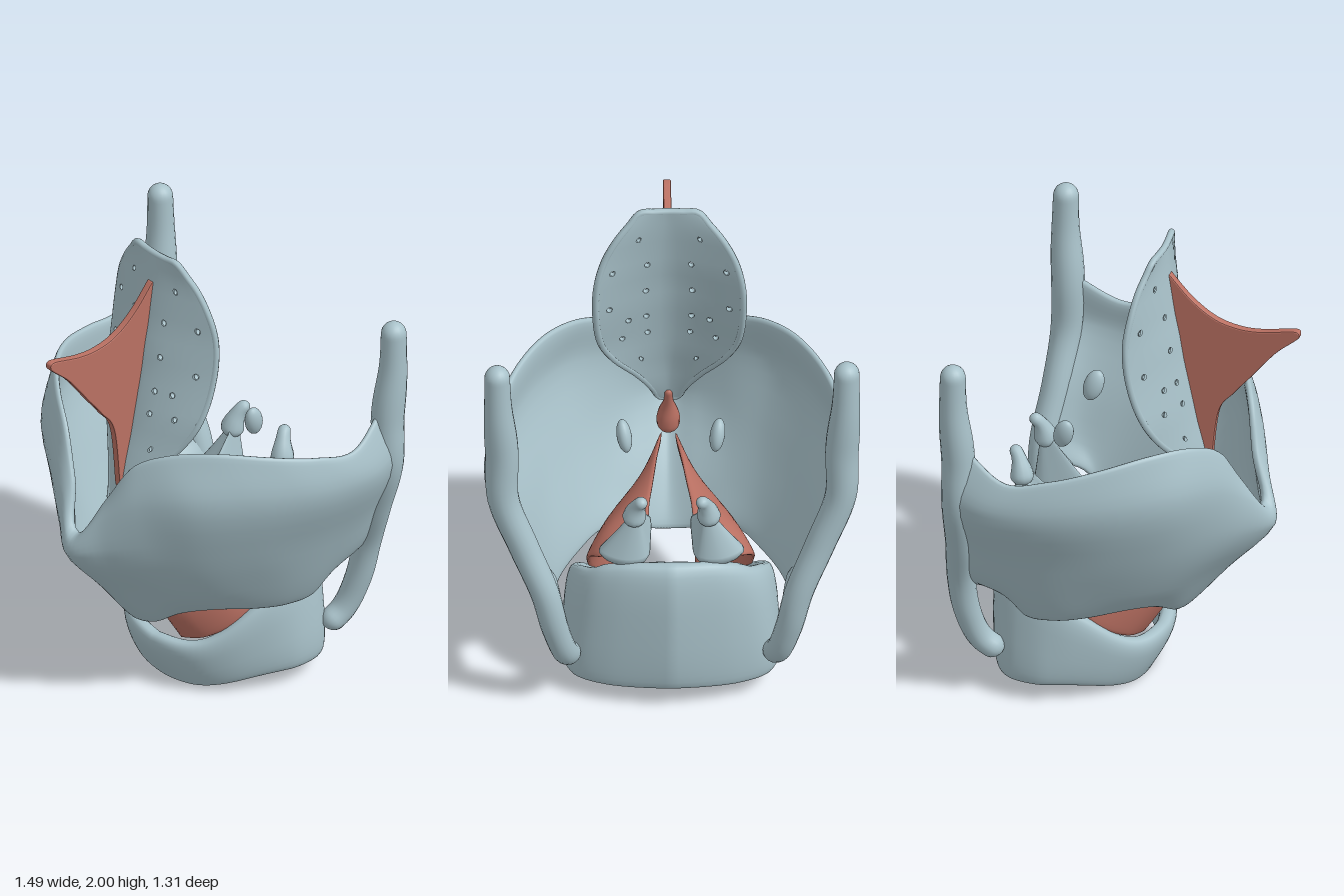
import * as THREE from 'three';
import { mergeVertices, mergeGeometries } from 'three/addons/utils/BufferGeometryUtils.js';

const V = (x, y, z) => new THREE.Vector3(x, y, z);
const curve = (pts, closed = false) => new THREE.CatmullRomCurve3(pts.map(p => V(...p)), closed);
const keys = a => {
  const c = new THREE.CatmullRomCurve3(a.map(v => V(v, 0, 0)), false, 'catmullrom');
  return t => c.getPoint(Math.min(1, Math.max(0, t))).x;
};
const pow = (v, e) => Math.sign(v) * Math.abs(v) ** e;

// Smooth surface over a u,v grid; closed seams are welded and faces turned outward
function solid(nu, nv, f) {
  const pos = [], idx = [];
  for (let i = 0; i <= nu; i++) for (let j = 0; j <= nv; j++) pos.push(...f(i / nu, j / nv).toArray());
  for (let i = 0; i < nu; i++) for (let j = 0; j < nv; j++) {
    const a = i * (nv + 1) + j, b = a + nv + 1;
    idx.push(a, b, b + 1, a, b + 1, a + 1);
  }
  let g = new THREE.BufferGeometry();
  g.setAttribute('position', new THREE.Float32BufferAttribute(pos, 3));
  g.setIndex(idx);
  g = mergeVertices(g, 1e-5);
  const p = g.attributes.position, ix = g.index.array, at = k => V().fromBufferAttribute(p, ix[k]);
  let vol = 0;
  for (let k = 0; k < ix.length; k += 3) vol += at(k).dot(at(k + 1).cross(at(k + 2)));
  if (vol < 0) flip(g);
  g.computeVertexNormals();
  return g;
}
function flip(g) {
  const a = g.index.array;
  for (let k = 0; k < a.length; k += 3) [a[k], a[k + 1]] = [a[k + 1], a[k]];
}

// Round bar with changing radius and rounded ends; rings crowd toward the ends
function bar(c, radius) {
  const n = 300, fr = c.computeFrenetFrames(n), len = c.getLength();
  return (t, v) => {
    const u = 0.5 - 0.5 * Math.cos(Math.PI * t), i = Math.round(u * n), a = v * Math.PI * 2, r0 = radius(u);
    const end = Math.min(1, Math.min(u, 1 - u) * len / r0);
    const r = r0 * Math.sqrt(Math.max(0, 1 - (1 - end) ** 2));
    return c.getPointAt(u).addScaledVector(fr.normals[i], r * Math.cos(a)).addScaledVector(fr.binormals[i], r * Math.sin(a));
  };
}

// Curved plate with rounded edges, from a function giving its outer surface
function plate(P, thick, roundEnds) {
  return (u, v) => {
    const a = v * Math.PI * 2, w = 0.5 - 0.5 * Math.cos(a), e = 0.01;
    const w0 = Math.min(0.98, Math.max(0.02, w)), u0 = Math.min(0.98, Math.max(0.02, u));
    const du = P(u0 + e, w0).sub(P(u0 - e, w0)), dv = P(u0, w0 + e).sub(P(u0, w0 - e));
    const n = du.cross(dv).normalize();
    const k = roundEnds ? Math.sqrt(Math.max(0, 1 - Math.abs(2 * u - 1) ** 10)) : 1;
    return P(u, w).addScaledVector(n, thick / 2 * (k * pow(Math.sin(a), 0.65) - 1));
  };
}

// Surface through several matching curves
function through(rows) {
  const cs = rows.map(r => curve(r)), memo = new Map();
  return (u, v) => {
    if (!memo.has(u)) memo.set(u, new THREE.CatmullRomCurve3(cs.map(c => c.getPoint(u))));
    return memo.get(u).getPoint(v);
  };
}

export function createModel() {
  const group = new THREE.Group();
  const cartilage = new THREE.MeshStandardMaterial({ color: 0xa9c2ca, side: THREE.DoubleSide });
  cartilage.name = 'cartilage';
  const muscle = new THREE.MeshStandardMaterial({ color: 0xbb7163, side: THREE.DoubleSide });
  muscle.name = 'muscle';
  const add = (name, geo, mat = cartilage) => {
    const m = new THREE.Mesh(geo, mat);
    m.name = name;
    group.add(m);
    return m;
  };
  const pair = (name, nu, nv, f, mat) => {
    for (const s of [1, -1]) add((s > 0 ? 'left' : 'right') + name, solid(nu, nv, (u, v) => {
      const p = f(u, v);
      p.x *= s;
      return p;
    }), mat);
  };

  // Shield: half rows from the lower edge to the upper edge, front to back, mirrored into one plate
  const half = [
    [[0, .305, .2], [.1, .325, .18], [.2, .385, .12], [.3, .415, .04], [.4, .41, -.1], [.46, .41, -.22], [.49, .43, -.34], [.48, .52, -.44], [.47, .52, -.58]],
    [[0, .53, .36], [.13, .54, .3], [.26, .55, .21], [.37, .56, .09], [.46, .57, -.06], [.52, .57, -.2], [.55, .58, -.33], [.555, .6, -.46], [.52, .62, -.61]],
    [[0, .77, .55], [.14, .78, .46], [.28, .8, .35], [.42, .8, .21], [.53, .8, .03], [.595, .8, -.14], [.63, .8, -.3], [.645, .82, -.46], [.61, .85, -.61]],
    [[0, .83, .545], [.12, .94, .485], [.26, 1.04, .415], [.45, 1.08, .295], [.59, 1.08, .115], [.685, 1.06, -.09], [.73, 1.05, -.27], [.745, 1.06, -.44], [.72, 1.1, -.6]],
    [[0, .87, .51], [.1, 1.04, .455], [.21, 1.21, .405], [.35, 1.29, .325], [.5, 1.31, .2], [.625, 1.28, .03], [.7, 1.235, -.16], [.73, 1.21, -.34], [.69, 1.33, -.54]],
  ];
  const shield = through(half.map(r => [...r.slice(1).reverse().map(([x, y, z]) => [-x, y, z]), ...r]));
  add('shieldPlate', solid(112, 48, plate(shield, 0.06)));

  // Upper and lower horns along the rear edges of the shield
  const horn = curve([[.695, 1.715, -.565], [.69, 1.5, -.565], [.675, 1.27, -.55], [.67, 1.05, -.555], [.59, .82, -.57],
    [.505, .6, -.595], [.465, .42, -.585], [.425, .27, -.54], [.4, .2, -.46]]);
  pair('Horn', 72, 18, bar(horn, keys([.05, .055, .066, .066, .062, .06, .058, .056, .052, .05])));

  // Ring cartilage: low at the front, tall and narrowing upward at the back, widest near the rear corners
  const side = [[.18, 0, .085], [.31, 0, -.02], [.4, 0, -.17], [.445, 0, -.34], [.415, 0, -.48], [.28, 0, -.57]];
  const outline = curve([[0, 0, .125], ...side, [0, 0, -.61], ...side.map(([x, y, z]) => [-x, y, z]).reverse()], true);
  const top = keys([.215, .25, .43, .58, .67, .7]), bottom = keys([0, .02, .07, .08, .085, .1]);
  add('ringCartilage', solid(96, 32, (u, v) => {
    const t = 1 - Math.abs(1 - 2 * u), b = v * Math.PI * 2;
    const c = pow(Math.cos(b), 0.7), s = pow(Math.sin(b), 0.8), out = (c + 1) / 2, up = (1 + s) / 2;
    const back = THREE.MathUtils.smoothstep(t, 0.4, 0.68);
    const lean = 0.09 * (1 - up) ** 1.5 * Math.max(0, 1 - 2 * t);
    const dent = 0.025 * Math.sin(Math.PI * Math.max(0, t - 0.6) / 0.4);
    const inset = (0.085 + 0.05 * back * up) * (1 - out) + (lean + dent) * out;
    const p = outline.getPointAt(u % 1), d = outline.getTangentAt(u % 1);
    p.addScaledVector(V(d.z, 0, -d.x), inset);
    p.x *= 1 - 0.17 * back * up;
    p.y = THREE.MathUtils.lerp(bottom(t), top(t), up);
    return p;
  }));

  // Pyramid cartilages standing on the back of the ring, each with a small hooked tip
  const base = curve([[.085, .71, -.24], [.16, .69, -.36], [.27, .69, -.39], [.29, .69, -.46], [.2, .68, -.51], [.1, .68, -.49], [.08, .7, -.38]], true);
  const apex = V(.135, .95, -.475), floor = V(.17, .68, -.43);
  pair('PyramidCartilage', 24, 32, (u, v) => {
    const p = base.getPoint(v % 1);
    if (u < 0.15) return p.lerp(floor, 1 - u / 0.15).setY(p.y - 0.02);
    const f = (u - 0.15) / 0.85, q = p.clone().lerp(apex, 1 - (1 - f) ** 1.15);
    q.y = p.y + (apex.y - p.y) * f;
    return q;
  });
  pair('HookedTip', 24, 12, bar(curve([[.155, .84, -.455], [.14, .92, -.47], [.125, .965, -.49], [.11, .985, -.515]]), keys([.055, .045, .03, .024])));

  // Small loose beads in front of the pyramids
  for (const s of [1, -1]) {
    const bead = add(s > 0 ? 'leftBead' : 'rightBead', new THREE.SphereGeometry(1, 20, 14));
    bead.scale.set(.03, .07, .04);
    bead.position.set(s * .185, 1.14, -.275);
    bead.rotation.set(.3, 0, s * -.15);
  }

  // Sloping folds from the ring up to the central gap
  const fold = through([
    [[.11, .21, .05], [.22, .25, .01], [.32, .34, -.09], [.345, .47, -.2], [.335, .57, -.3], [.29, .63, -.38]],
    [[.105, .45, .19], [.17, .48, .11], [.235, .53, 0], [.25, .6, -.12], [.25, .65, -.23], [.22, .68, -.34]],
    [[.045, .71, .31], [.06, .715, .2], [.07, .72, .08], [.08, .725, -.04], [.09, .73, -.15], [.095, .735, -.27]],
  ]);
  pair('Fold', 40, 32, plate(fold, 0.035, true), muscle);

  // Leaf-shaped flap, laid out in cells so that small holes can pass through it
  const rows = 22, cols = 16, low = .9, tall = 1.085;
  const width = keys([.035, .08, .14, .21, .262, .284, .292, .294, .284, .255, .2, .115]);
  const mid = keys([.29, .265, .245, .22, .2, .18, .16, .145, .125, .11, .095, .085]);
  const sweep = keys([.0, .02, .05, .08, .1, .115, .12, .12, .105, .08, .05, .01]);
  const leaf = (s, t, d = 0) => V(s * width(t), low + tall * t, mid(t) - sweep(t) * Math.abs(s) ** 1.5 + d);
  const holes = new Set();
  for (const [x, y] of [[.12, 1.84], [.22, 1.73], [.095, 1.69], [.08, 1.55], [.22, 1.54], [.155, 1.43], [.08, 1.43], [.2, 1.33], [.09, 1.33], [.1, 1.18]]) {
    const r = Math.floor((y - low) / tall * rows), c = Math.floor(x / width((r + .5) / rows) * cols / 2);
    holes.add(r * cols + cols / 2 + c).add(r * cols + cols / 2 - 1 - c);
  }
  const cells = [], walls = [];
  for (let r = 0; r < rows; r++) for (let c = 0; c < cols; c++) {
    const sq = new THREE.Shape([[0, 0], [1, 0], [1, 1], [0, 1]].map(p => new THREE.Vector2(...p)));
    if (holes.has(r * cols + c)) {
      sq.holes.push(new THREE.Path().absellipse(.5, .5, .32, .26, 0, Math.PI * 2, true));
      const p = leaf((c + .5) / cols * 2 - 1, (r + .5) / rows), w = width((r + .5) / rows) / cols * 2;
      walls.push(new THREE.CylinderGeometry(.32, .32, .024, 12, 1, true).rotateX(Math.PI / 2).scale(w, .04, 1).translate(p.x, p.y, p.z));
    }
    cells.push(new THREE.ShapeGeometry(sq, 6).translate(c, r, 0));
  }
  let flat = mergeGeometries(cells);
  flat.deleteAttribute('normal');
  flat.deleteAttribute('uv');
  flat = mergeVertices(flat, 1e-4);
  for (const face of [1, -1]) {
    const g = flat.clone(), p = g.attributes.position;
    for (let i = 0; i < p.count; i++) p.setXYZ(i, ...leaf(p.getX(i) / cols * 2 - 1, p.getY(i) / rows, face * .013).toArray());
    if (face < 0) flip(g);
    g.computeVertexNormals();
    add(face > 0 ? 'flapFront' : 'flapBack', g);
  }
  add('flapHoleWalls', mergeGeometries(walls));
  const rim = [];
  for (let i = 0; i <= 22; i++) rim.push(leaf(1, i / 22));
  for (const s of [.5, 0, -.5]) rim.push(leaf(s, 1));
  for (let i = 22; i >= 0; i--) rim.push(leaf(-1, i / 22));
  add('flapRim', new THREE.TubeGeometry(new THREE.CatmullRomCurve3(rim, true), 160, .0145, 8, true));

  // Upright fin in front of the flap
  const v2 = a => a.map(p => new THREE.Vector2(...p));
  const fin = new THREE.Shape();
  fin.moveTo(.11, 1.865);
  fin.splineThru(v2([[.2, 1.765], [.3, 1.695], [.4, 1.67], [.5, 1.675], [.63, 1.705], [.65, 1.69], [.63, 1.665], [.55, 1.59], [.45, 1.46], [.38, 1.37], [.31, 1.26], [.28, .985]]));
  fin.splineThru(v2([[.205, 1.27], [.15, 1.6], [.11, 1.865]]));
  add('fin', new THREE.ExtrudeGeometry(fin, { depth: .018, bevelSize: .005, bevelThickness: .007, bevelSegments: 2, curveSegments: 30 })
    .translate(0, 0, -.009).rotateY(-Math.PI / 2), muscle);

  // Short band tying the flap stem to the shield
  add('stemBand', solid(24, 14, bar(curve([[0, .95, .265], [0, .89, .285], [0, .8, .315], [0, .7, .33]]), keys([.015, .022, .045, .045]))), muscle);
  return group;
}
